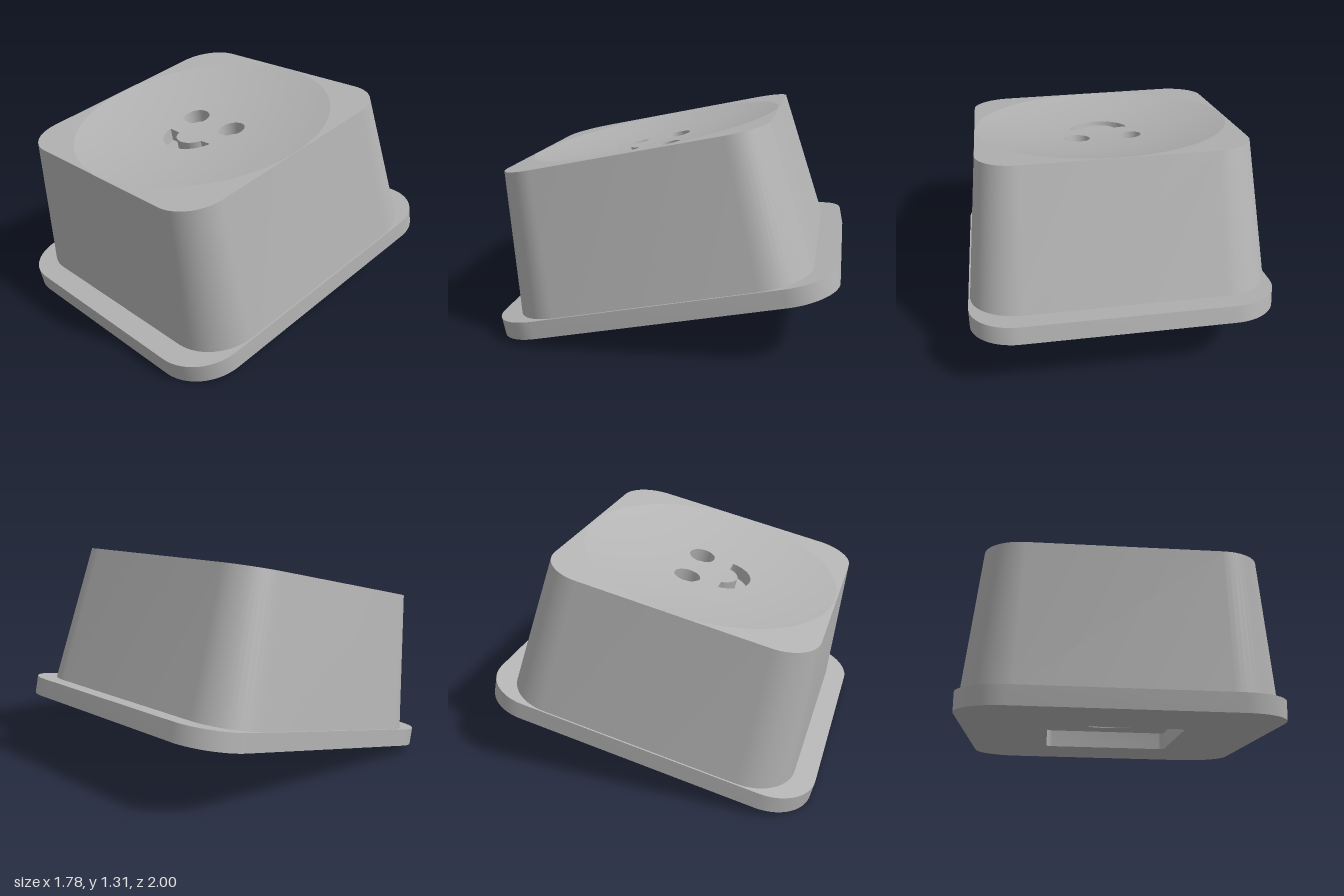
import * as THREE from 'three';
import { toCreasedNormals } from 'three/addons/utils/BufferGeometryUtils.js';

const PLATE = 0.107, TOP = 0.953, FLOOR = 0.8;
const DISH_R = 0.78, DISH_DEPTH = 0.08, FACE_R = 0.3;
const SPHERE_R = (DISH_R ** 2 + DISH_DEPTH ** 2) / (2 * DISH_DEPTH);

// Height of the spherical dish at a distance r from its middle
const dishY = (r) => TOP - DISH_DEPTH + SPHERE_R - Math.sqrt(SPHERE_R ** 2 - r * r);

// Points along an arc, angles in radians
function arc(cx, cy, r, a0, a1, n) {
  return Array.from({ length: n + 1 }, (_, i) => {
    const a = a0 + (a1 - a0) * i / n;
    return new THREE.Vector2(cx + r * Math.cos(a), cy + r * Math.sin(a));
  });
}
const circle = (cx, cy, r, n) => arc(cx, cy, r, 0, Math.PI * 2, n).slice(0, n);

function roundedRect(hw, hd, r, n = 14) {
  const corners = [[1, 1], [-1, 1], [-1, -1], [1, -1]];
  return corners.flatMap(([sx, sy], i) =>
    arc(sx * (hw - r), sy * (hd - r), r, i * Math.PI / 2, (i + 1) * Math.PI / 2, n));
}

// Flat outline with holes, laid level and facing up at height y
function panel(outline, holes, y) {
  const shape = new THREE.Shape(outline);
  shape.holes = holes.map((h) => new THREE.Path(h));
  return new THREE.ShapeGeometry(shape).rotateX(-Math.PI / 2).translate(0, y, 0);
}

// Wall between two matching outlines; each height is a function of the point
function wall(a, ya, b, yb) {
  const pos = [];
  const put = (p, y) => pos.push(p.x, y(p), -p.y);
  for (let i = 0; i < a.length; i++) {
    const j = (i + 1) % a.length;
    put(a[i], ya); put(a[j], ya); put(b[j], yb);
    put(a[i], ya); put(b[j], yb); put(b[i], yb);
  }
  const g = new THREE.BufferGeometry();
  g.setAttribute('position', new THREE.Float32BufferAttribute(pos, 3));
  return toCreasedNormals(g, 0.6);
}

export function createModel() {
  const grey = new THREE.MeshStandardMaterial({ color: 0xb4b4b4, side: THREE.DoubleSide });
  grey.name = 'grey';
  const model = new THREE.Group();
  model.name = 'keyCap';
  const tilted = new THREE.Group();
  tilted.name = 'tiltedCap';
  tilted.rotation.x = THREE.MathUtils.degToRad(12);
  tilted.position.set(0, 0.21, -0.011);
  model.add(tilted);
  const add = (name, geometry) => {
    const mesh = new THREE.Mesh(geometry, grey);
    mesh.name = name;
    tilted.add(mesh);
  };

  // Base plate with a square recess cut through it
  const plate = roundedRect(0.89, 1.012, 0.28);
  const recess = roundedRect(0.395, 0.435, 0.035, 4);
  const plateShape = new THREE.Shape(plate);
  plateShape.holes.push(new THREE.Path(recess));
  const plateGeo = new THREE.ExtrudeGeometry(plateShape, { depth: PLATE, bevelEnabled: false });
  add('basePlate', toCreasedNormals(plateGeo.rotateX(-Math.PI / 2), 0.6));

  // Recess ceiling with a round socket in it
  const socket = circle(0, 0, 0.27, 48);
  const socketTop = PLATE + 0.2;
  const facingDown = (g) => g.rotateX(Math.PI);
  add('recessCeiling', facingDown(panel(recess, [socket], -PLATE)));
  add('socketWall', wall(socket, () => socketTop, socket, () => PLATE));
  add('socketCeiling', facingDown(panel(socket, [], -socketTop)));

  // Tapered body
  const bodyTop = roundedRect(0.785, 0.789, 0.235);
  add('body', wall(roundedRect(0.88, 0.882, 0.29), () => PLATE, bodyTop, () => TOP));

  // Flat rim around the round dish
  add('topRim', panel(bodyTop, [circle(0, 0, DISH_R, 96)], TOP));

  // Outer part of the dish
  const profile = Array.from({ length: 13 }, (_, i) => {
    const r = DISH_R + (FACE_R - DISH_R) * i / 12;
    return new THREE.Vector2(r, dishY(r));
  }).reverse();
  const dish = new THREE.LatheGeometry(profile, 96);
  // Turn the faces upward if the profile direction left them facing down
  if (dish.attributes.normal.getY(0) < 0) {
    dish.index.array.reverse();
    const n = dish.attributes.normal;
    for (let i = 0; i < n.count; i++) n.setXYZ(i, -n.getX(i), -n.getY(i), -n.getZ(i));
  }
  add('dish', dish);

  // Eyes and smile
  const lo = Math.asin(0.031 / 0.185), li = Math.asin(0.031 / 0.105);
  const features = {
    leftEye: circle(0.16, 0.093, 0.08, 36),
    rightEye: circle(-0.16, 0.093, 0.08, 36),
    smile: [
      ...arc(0, -0.076, 0.185, Math.PI + lo, 2 * Math.PI - lo, 28),
      ...arc(0, -0.076, 0.105, 2 * Math.PI - li, Math.PI + li, 20),
    ],
  };

  // Middle of the dish, pierced by the face and bent to the sphere
  const middle = panel(circle(0, 0, FACE_R, 96), Object.values(features), 0);
  const p = middle.attributes.position, n = middle.attributes.normal;
  for (let i = 0; i < p.count; i++) {
    const x = p.getX(i), z = p.getZ(i), r = Math.hypot(x, z);
    p.setY(i, dishY(r));
    n.setXYZ(i, -x / SPHERE_R, Math.sqrt(1 - (r / SPHERE_R) ** 2), -z / SPHERE_R);
  }
  add('dishMiddle', middle);

  // Sunken pockets of the face
  for (const [name, outline] of Object.entries(features)) {
    add(name + 'Wall', wall(outline, (q) => dishY(q.length()), outline, () => FLOOR));
    add(name + 'Floor', panel(outline, [], FLOOR));
  }
  return model;
}
